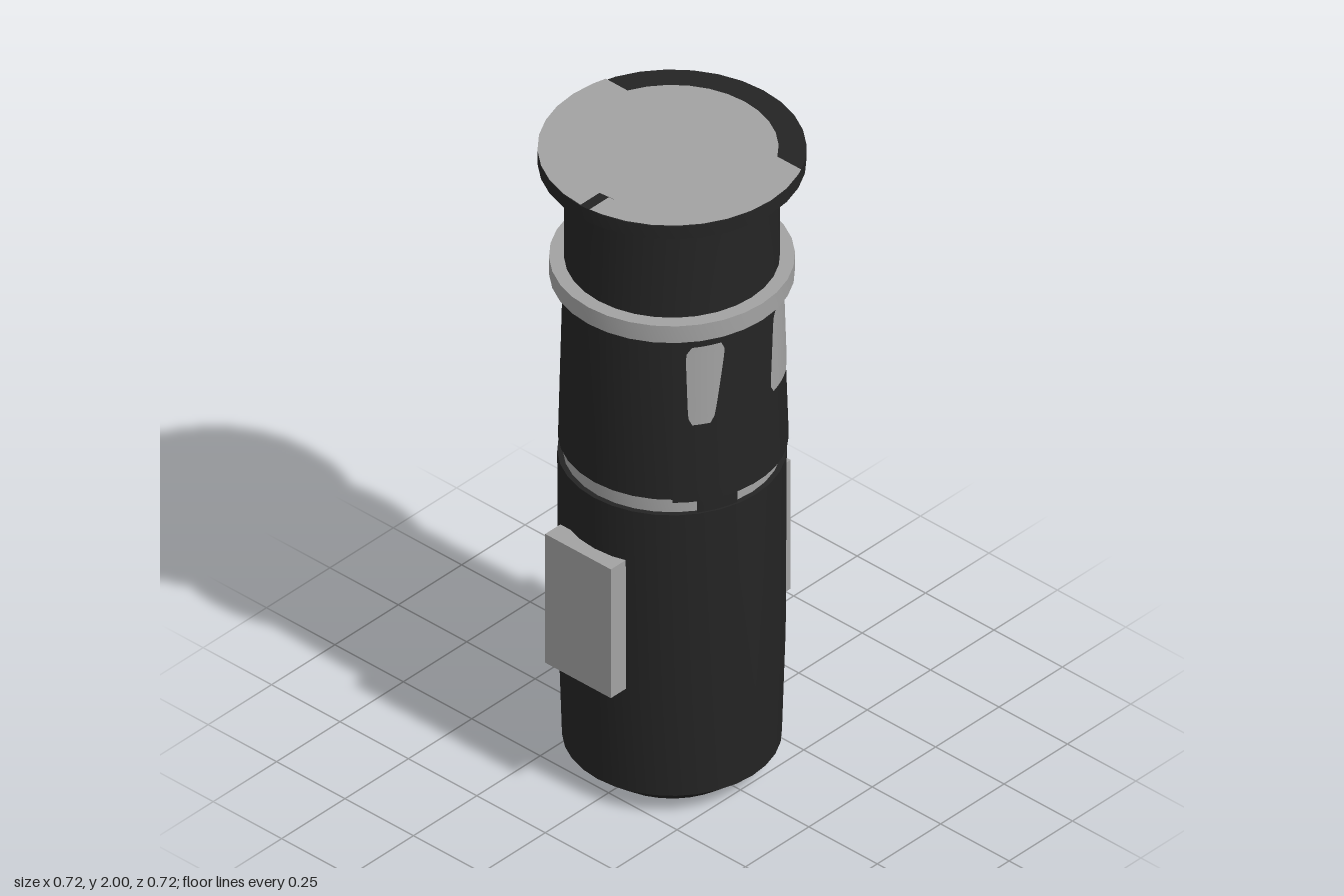
import * as THREE from 'three';
import { toCreasedNormals } from 'three/addons/utils/BufferGeometryUtils.js';

const dark = new THREE.MeshStandardMaterial({ color: 0x242424, side: THREE.DoubleSide });
dark.name = 'blackCasing';
const grey = new THREE.MeshStandardMaterial({ color: 0xa2a2a2, side: THREE.DoubleSide });
grey.name = 'greyTrim';

const SIDES = 32;

export function createModel() {
  const group = new THREE.Group();

  const add = (name, geometry, material) => {
    const mesh = new THREE.Mesh(geometry, material);
    mesh.name = name;
    group.add(mesh);
    return mesh;
  };

  // Turned part from [radius, height] pairs, bottom to top
  const turned = (name, profile, material, start = 0, sweep = Math.PI * 2, sides = SIDES) => {
    const points = profile.map(([r, y]) => new THREE.Vector2(r, y));
    const lathe = new THREE.LatheGeometry(points, sides, start, sweep);
    return add(name, toCreasedNormals(lathe, 0.35), material);
  };

  // Casing and collars
  turned('lowerBody', [[0, 0], [0.21, 0], [0.295, 0.07], [0.305, 0.4], [0.308, 1.005], [0, 1.005]], dark);
  turned('neck', [[0.293, 1.0], [0.293, 1.07]], grey);
  turned('upperBody', [[0.2, 1.055], [0.306, 1.055], [0.293, 1.59], [0.29, 1.62], [0.289, 1.96]], dark);
  turned('collarRing', [[0.28, 1.59], [0.33, 1.59], [0.33, 1.645], [0.28, 1.645]], grey);
  turned('topFlange', [[0.28, 1.955], [0.361, 1.955], [0.361, 1.997], [0, 1.997]], dark);

  // Flared side panel and the tabs across the neck
  turned('sidePanel', [[0.28, 1.05], [0.313, 1.05], [0.312, 1.09], [0.296, 1.59]], dark, 0.75, 1.55, 10);
  for (const [start, end] of [[0.97, 1.37], [2.3, 2.62]]) {
    turned('neckTab', [[0.302, 1.0], [0.302, 1.06]], dark, start, end - start, 4);
  }

  // Curved windows in the side panel; z edges are given at bottom and top
  const addWindow = (bottom, top) => {
    const geometry = new THREE.PlaneGeometry(1, 1, 6, 12);
    const pos = geometry.attributes.position;
    for (let i = 0; i < pos.count; i++) {
      const u = pos.getX(i) + 0.5;
      const v = pos.getY(i) + 0.5;
      const round = 0.72 + 0.28 * Math.sqrt(1 - Math.pow(Math.abs(2 * v - 1), 8));
      const a = THREE.MathUtils.lerp(bottom[0], top[0], v);
      const b = THREE.MathUtils.lerp(bottom[1], top[1], v);
      const z = (a + b) / 2 + (b - a) * (u - 0.5) * round;
      const y = 1.3 + 0.25 * v;
      const r = 0.312 - 0.032 * (y - 1.09) + 0.004;
      pos.setXYZ(i, Math.sqrt(r * r - z * z), y, z);
    }
    geometry.computeVertexNormals();
    add('sideWindow', geometry, grey);
  };
  addWindow([0.195, 0.135], [0.195, 0.095]);
  addWindow([-0.06, -0.19], [-0.09, -0.19]);

  // Raised rectangular pads, front and back
  const addPad = (name, x, y, z, width) => {
    add(name, new THREE.BoxGeometry(width, 0.425, 0.06), grey).position.set(x, y, z);
  };
  addPad('frontPad', -0.021, 0.625, 0.318, 0.24);
  addPad('backPad', 0.005, 0.64, -0.303, 0.24);

  // Grey cap disc and the two ring sectors on the flange
  const capDisc = new THREE.CircleGeometry(0.286, SIDES).rotateX(-Math.PI / 2);
  add('capDisc', capDisc, grey).position.y = 2;

  const arc = (radius, from, to) => {
    const step = Math.PI * 2 / SIDES;
    const angles = [from];
    for (let k = Math.floor(from / step) + 1; k * step < to - 1e-4; k++) angles.push(k * step);
    angles.push(to);
    return angles.map((t) => new THREE.Vector2(radius * Math.cos(t), -radius * Math.sin(t)));
  };
  const addSector = (outer, inner) => {
    const shape = new THREE.Shape([...arc(0.361, ...outer), ...arc(0.286, ...inner).reverse()]);
    add('flangeSector', new THREE.ShapeGeometry(shape).rotateX(-Math.PI / 2), grey).position.y = 2;
  };
  addSector([-0.46, 1.482], [-0.594, 1.459]);
  addSector([Math.PI / 2, Math.PI + 0.31], [Math.PI / 2, Math.PI + 0.394]);

  return group;
}
